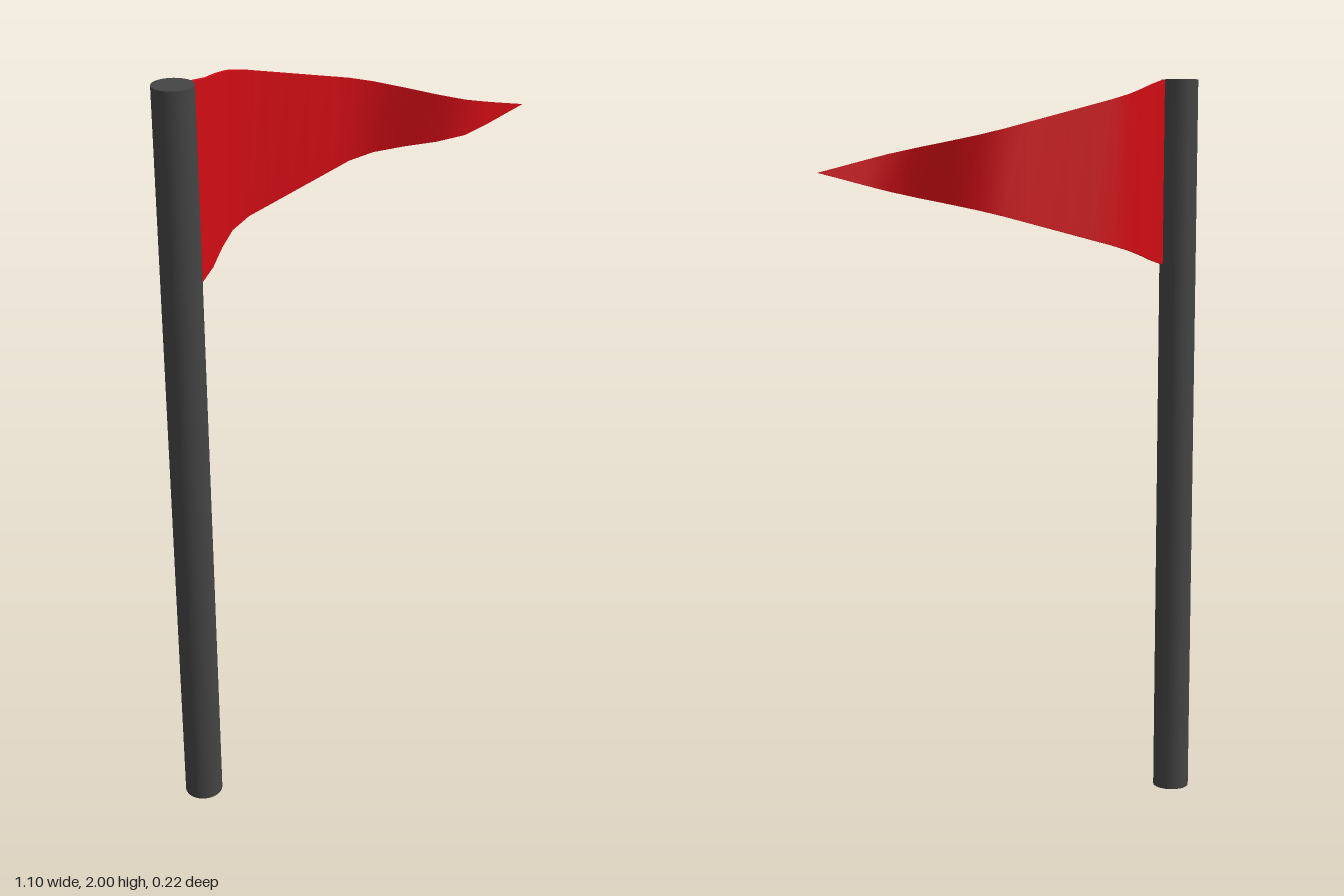
import * as THREE from 'three';
import { toCreasedNormals } from 'three/addons/utils/BufferGeometryUtils.js';

const POLE_X = -0.5, POLE_Z = 0.057, POLE_R = 0.05;

// Depth of the rippling cloth at 17 even steps from pole to tip
const WAVE = [0.057, 0.016, -0.04, -0.087, -0.107, -0.107, -0.107, -0.107, -0.107,
  -0.107, -0.087, -0.04, 0.016, 0.054, 0.06, 0.06, 0.06];

function pennantGeometry() {
  const steps = WAVE.length - 1, length = 0.996, height = 0.5, thickness = 0.009;
  const geo = new THREE.BoxGeometry(length, height, thickness, steps, 1, 1);
  const pos = geo.attributes.position;
  for (let i = 0; i < pos.count; i++) {
    const t = pos.getX(i) / length + 0.5;
    const taper = Math.max(1 - t, 0.002); // narrows and thins to a point
    pos.setXYZ(i,
      POLE_X + POLE_R + t * length,
      1.75 + pos.getY(i) * taper,
      WAVE[Math.round(t * steps)] + pos.getZ(i) * taper);
  }
  return toCreasedNormals(geo, Math.PI / 4);
}

export function createModel() {
  const group = new THREE.Group();
  group.name = 'pennantFlag';

  // Upright round pole
  const pole = new THREE.Mesh(
    new THREE.CylinderGeometry(POLE_R, POLE_R, 2, 32),
    new THREE.MeshStandardMaterial({ color: 0x444444 }));
  pole.name = 'pole';
  pole.position.set(POLE_X, 1, POLE_Z);

  // Wavy triangular cloth
  const pennant = new THREE.Mesh(
    pennantGeometry(),
    new THREE.MeshStandardMaterial({ color: 0xd00c14, side: THREE.DoubleSide }));
  pennant.name = 'pennant';

  group.add(pole, pennant);
  return group;
}
